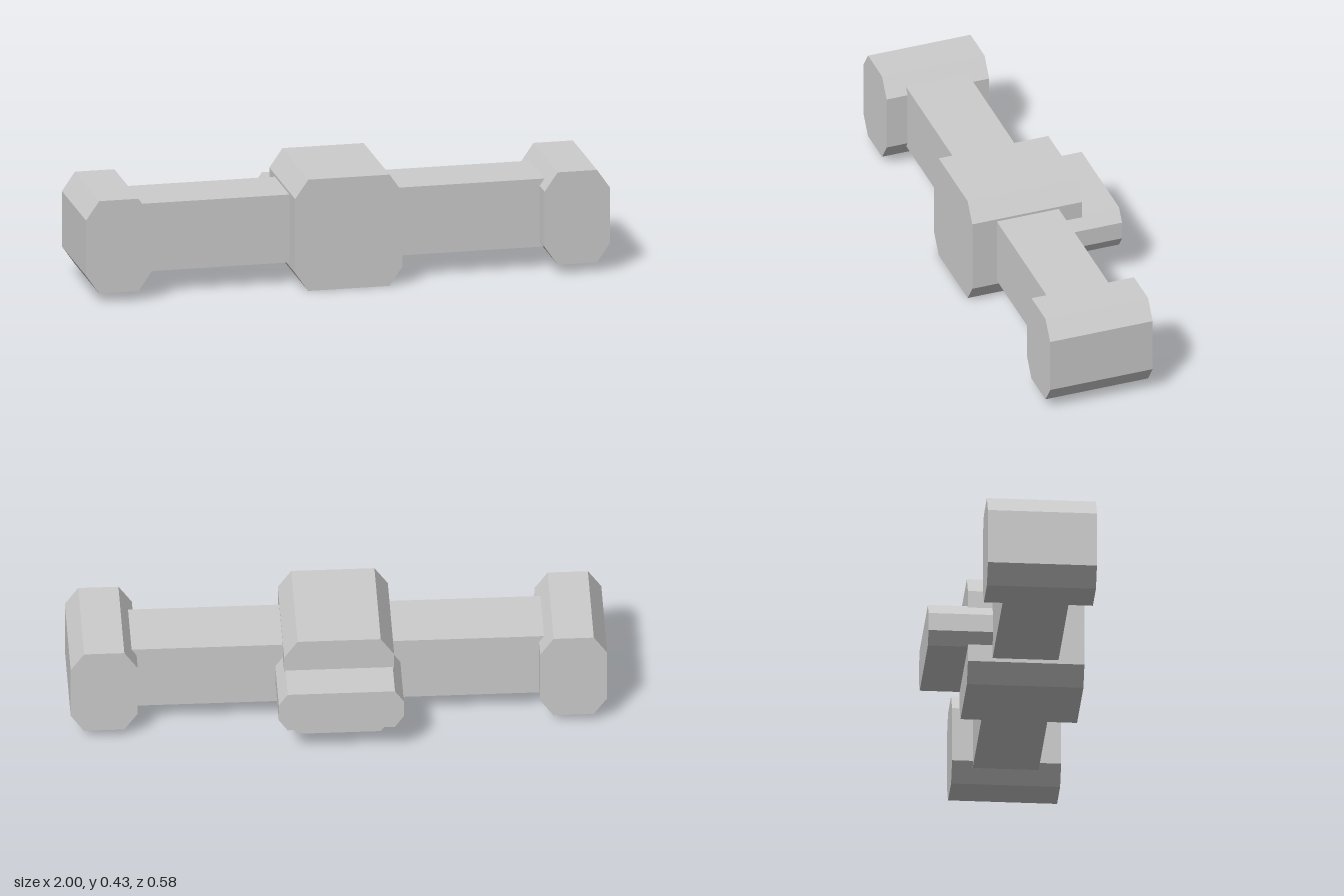
import * as THREE from 'three';

// Eight-sided block: a rectangle with cut corners, extruded along z
function chamferedBlock(name, material, x, y, w, h, cx, cy, zBack, zFront) {
  const a = w / 2, b = h / 2;
  const outline = [
    [a - cx, -b], [a, -b + cy], [a, b - cy], [a - cx, b],
    [-a + cx, b], [-a, b - cy], [-a, -b + cy], [-a + cx, -b],
  ].map(([px, py]) => new THREE.Vector2(px, py));
  const geometry = new THREE.ExtrudeGeometry(new THREE.Shape(outline), {
    depth: zFront - zBack, bevelEnabled: false,
  });
  const mesh = new THREE.Mesh(geometry, material);
  mesh.name = name;
  mesh.position.set(x, y, zBack);
  return mesh;
}

export function createModel() {
  const model = new THREE.Group();
  model.name = 'barWithBlocks';
  const grey = new THREE.MeshStandardMaterial({ color: 0xcccccc });
  grey.name = 'light grey';
  const midY = 0.216;

  // Long crossbar running into both end blocks
  const bar = new THREE.Mesh(new THREE.BoxGeometry(1.76, 0.263, 0.246), grey);
  bar.name = 'crossbar';
  bar.position.set(0, 0.2185, 0.073);
  model.add(bar);

  // Large middle block and the smaller lug behind it
  model.add(chamferedBlock('middleBlock', grey, 0, midY, 0.41, 0.431, 0.05, 0.072, -0.142, 0.293));
  model.add(chamferedBlock('rearLug', grey, 0, midY, 0.466, 0.166, 0.033, 0.048, -0.291, 0));

  // Matching end blocks
  for (const side of [1, -1]) {
    const name = side > 0 ? 'leftEndBlock' : 'rightEndBlock';
    model.add(chamferedBlock(name, grey, side * 0.875, midY, 0.25, 0.358, 0.05, 0.072, -0.128, 0.279));
  }
  return model;
}
